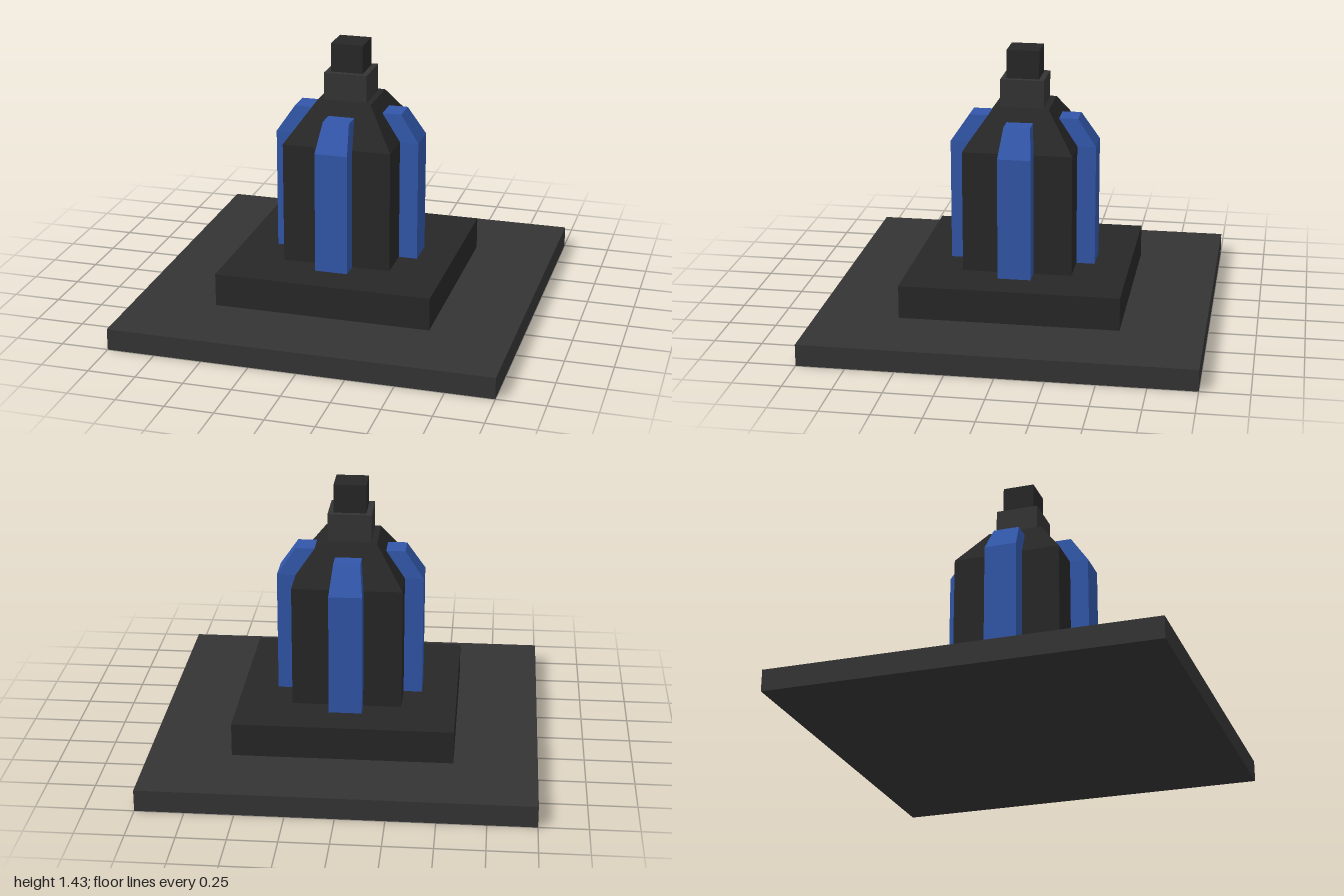
import * as THREE from 'three';

const charcoal = new THREE.MeshStandardMaterial({ color: 0x343434, flatShading: true });
const black = new THREE.MeshStandardMaterial({ color: 0x272727, flatShading: true });
const blue = new THREE.MeshStandardMaterial({ color: 0x3156a8, flatShading: true });

// Box standing between two heights
function block(name, width, y0, y1, material) {
  const geometry = new THREE.BoxGeometry(width, y1 - y0, width);
  geometry.translate(0, (y0 + y1) / 2, 0);
  const mesh = new THREE.Mesh(geometry, material);
  mesh.name = name;
  return mesh;
}

// Column of rectangular sections: each is { y, w: half width, z0: back, z1: front }
function column(name, sections, material) {
  const last = sections.length - 1;
  const geometry = new THREE.BoxGeometry(2, last, 1, 1, last, 1);
  const p = geometry.attributes.position;
  for (let i = 0; i < p.count; i++) {
    const s = sections[Math.round(p.getY(i) + last / 2)];
    p.setXYZ(i, p.getX(i) * s.w, s.y, p.getZ(i) > 0 ? s.z1 : s.z0);
  }
  geometry.computeVertexNormals();
  const mesh = new THREE.Mesh(geometry, material);
  mesh.name = name;
  return mesh;
}

export function createModel() {
  const model = new THREE.Group();
  model.name = 'tower';

  // Stepped base
  model.add(block('basePlate', 2, 0, 0.113, charcoal));
  model.add(block('plinth', 1.14, 0.113, 0.287, black));

  // Main body with chamfered shoulders
  model.add(column('body', [
    { y: 0.287, w: 0.286, z0: -0.286, z1: 0.286 },
    { y: 0.93, w: 0.286, z0: -0.286, z1: 0.286 },
    { y: 1.135, w: 0.144, z0: -0.144, z1: 0.144 },
  ], black));

  // Stepped top
  model.add(block('neck', 0.228, 1.135, 1.28, charcoal));
  model.add(block('cap', 0.17, 1.28, 1.43, black));

  // One buttress on each side, leaning in along the shoulder
  for (let i = 0; i < 4; i++) {
    const buttress = column('buttress', [
      { y: 0.287, w: 0.086, z0: 0.286, z1: 0.384 },
      { y: 0.93, w: 0.086, z0: 0.286, z1: 0.384 },
      { y: 1.073, w: 0.069, z0: 0.187, z1: 0.287 },
    ], blue);
    buttress.rotation.y = (i * Math.PI) / 2;
    model.add(buttress);
  }
  return model;
}
